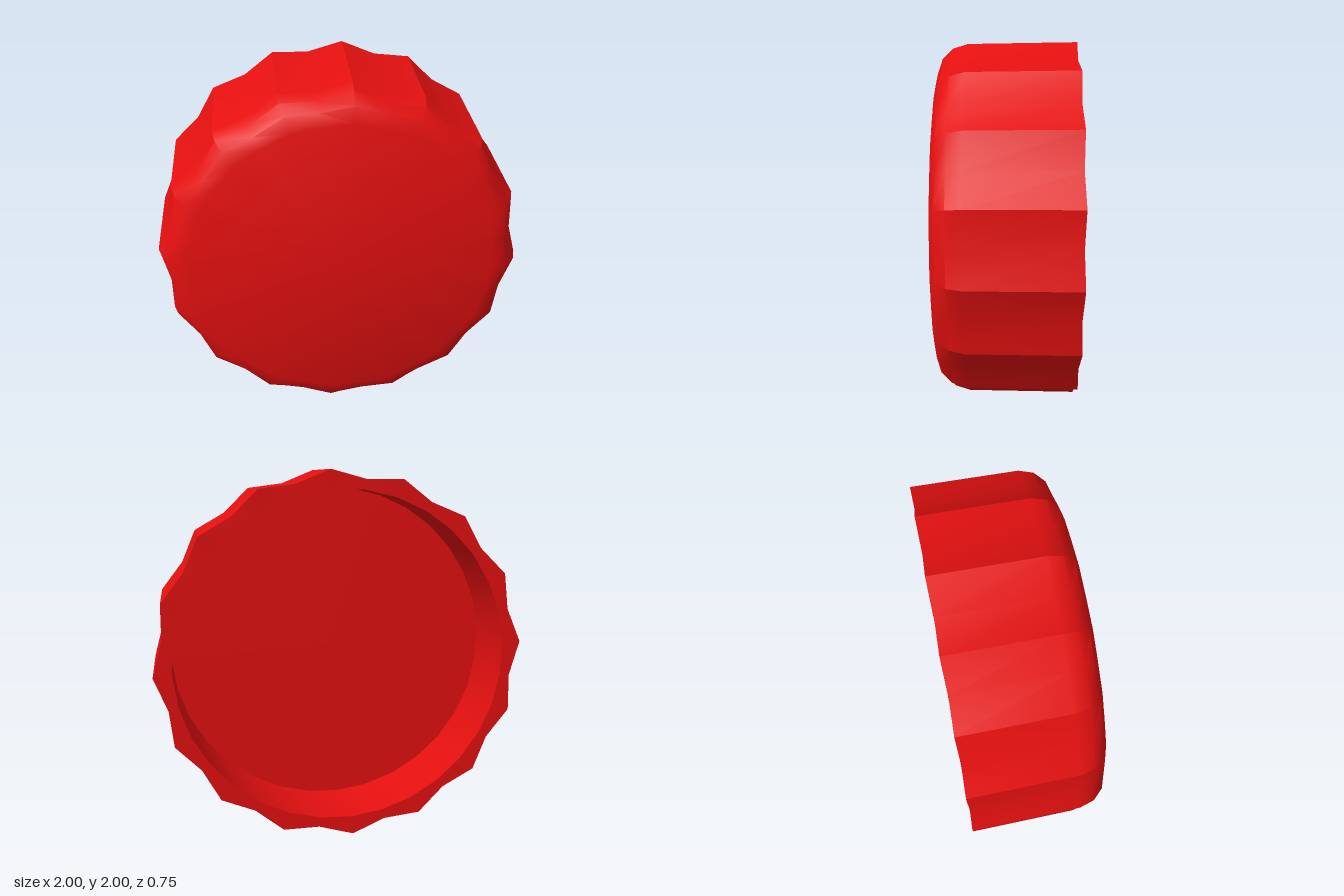
import * as THREE from 'three';
import { toCreasedNormals } from 'three/addons/utils/BufferGeometryUtils.js';

const FLUTES = 16;
const SEGMENTS = FLUTES * 2;
const START = THREE.MathUtils.degToRad(86.4); // angle of the first ridge

// Skin consecutive rings [ridgeRadius, ridgeZ, valleyRadius, valleyZ] around the z axis
function skinRings(rings) {
  const point = (ring, j) => {
    const [r, z] = j % 2 ? [ring[2], ring[3]] : [ring[0], ring[1]];
    const a = START + (j % SEGMENTS) * Math.PI * 2 / SEGMENTS;
    return [r * Math.cos(a), r * Math.sin(a), z];
  };
  const positions = [];
  for (let i = 0; i < rings.length - 1; i++) {
    for (let j = 0; j < SEGMENTS; j++) {
      const a = point(rings[i], j), b = point(rings[i + 1], j);
      const c = point(rings[i + 1], j + 1), d = point(rings[i], j + 1);
      if (rings[i + 1][0] > 0) positions.push(...a, ...b, ...c);
      if (rings[i][0] > 0) positions.push(...a, ...c, ...d);
    }
  }
  const geometry = new THREE.BufferGeometry();
  geometry.setAttribute('position', new THREE.Float32BufferAttribute(positions, 3));
  return toCreasedNormals(geometry, 0.56);
}

export function createModel() {
  const group = new THREE.Group();
  group.name = 'flutedCap';
  const material = new THREE.MeshStandardMaterial({ color: 0xe51010 });

  const add = (name, rings) => {
    const mesh = new THREE.Mesh(skinRings(rings), material);
    mesh.name = name;
    mesh.position.y = 1.003;
    group.add(mesh);
  };

  // Flat face, rounded shoulder and fluted side wall
  add('outerShell', [
    [0, 0.375, 0, 0.375],
    [0.83, 0.375, 0.82, 0.375],
    [0.91, 0.347, 0.885, 0.347],
    [0.965, 0.29, 0.927, 0.29],
    [0.99, 0.21, 0.946, 0.21],
    [1.0, -0.375, 0.955, -0.368],
  ]);

  // Back rim between the flutes and the round opening
  add('rim', [
    [1.0, -0.375, 0.955, -0.368],
    [0.9, -0.37, 0.9, -0.37],
  ]);

  // Round recess with a flat floor
  add('recess', [
    [0.9, -0.37, 0.9, -0.37],
    [0.9, 0.04, 0.9, 0.04],
    [0, 0.04, 0, 0.04],
  ]);

  return group;
}
